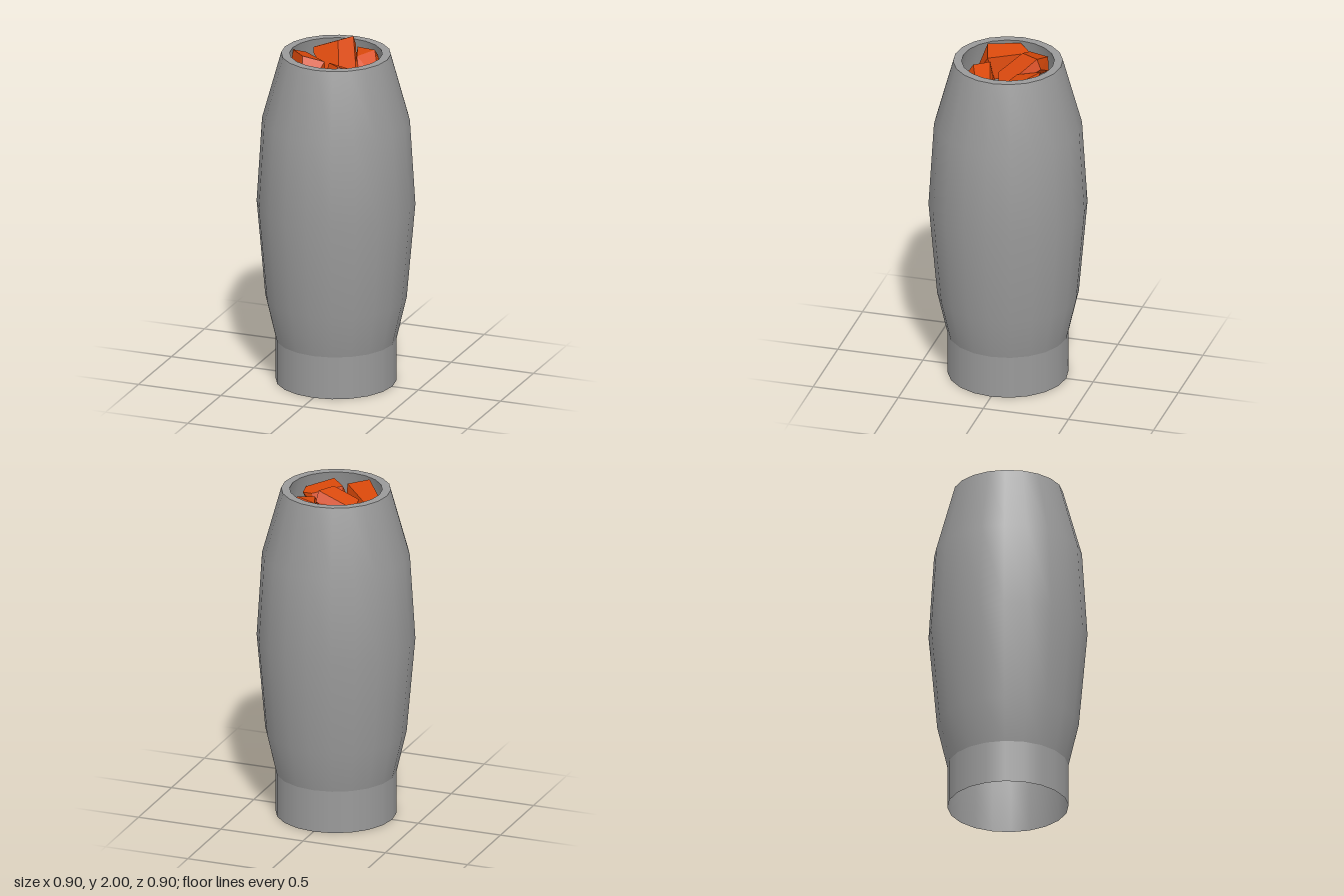
import * as THREE from 'three';
import { ConvexGeometry } from 'three/addons/geometries/ConvexGeometry.js';

const SIDES = 20;

export function createModel() {
  const model = new THREE.Group();
  const grey = new THREE.MeshStandardMaterial({ color: 0x9a9a9a });
  const orange = new THREE.MeshStandardMaterial({ color: 0xd8480a, flatShading: true });

  const add = (name, geometry, material) => {
    const mesh = new THREE.Mesh(geometry, material);
    mesh.name = name;
    model.add(mesh);
  };

  // Turned shell, open at both ends: smooth sections with a crease where they meet
  const turn = (name, profile) =>
    add(name, new THREE.LatheGeometry(profile.map(([r, y]) => new THREE.Vector2(r, y)), SIDES), grey);
  turn('foot', [[0.342, 0], [0.342, 0.25]]);
  turn('body', [[0.342, 0.25], [0.4, 0.5], [0.449, 1.06], [0.418, 1.56], [0.31, 1.952]]);
  turn('rim', [[0.31, 1.952], [0.262, 1.952]]);
  turn('innerWall', [[0.262, 1.952], [0.37, 1.56], [0.4, 1.06], [0.36, 0.5], [0.338, 0.25], [0.342, 0]]);

  // Angular chunks in the mouth, each the hull of its corners
  const chunks = {
    backChunk: [
      [-0.19, 1.911, -0.18], [0.034, 2, -0.18], [-0.02, 2, -0.08], [-0.17, 1.94, -0.08],
      [-0.12, 1.86, -0.205], [0.04, 1.94, -0.205], [-0.155, 1.914, -0.05],
      [0.135, 1.812, 0.02], [0.035, 1.89, 0.045], [-0.05, 1.856, 0.045]
    ],
    leftChunk: [
      [-0.21, 1.91, -0.07], [-0.02, 1.94, 0.125], [-0.14, 1.97, 0.16], [-0.26, 1.94, 0],
      [-0.155, 1.79, -0.045], [-0.025, 1.81, 0.085], [-0.1, 1.76, 0.235], [-0.25, 1.73, 0.13]
    ],
    rightChunk: [
      [0.05, 1.93, -0.205], [0.17, 1.94, -0.165], [0.095, 1.92, -0.08], [0.26, 1.82, 0],
      [0.17, 1.8, 0.06], [0.17, 1.9, -0.205], [0.28, 1.75, -0.1], [0.26, 1.75, 0.06],
      [0.035, 1.78, -0.19], [0.1, 1.76, 0.035]
    ],
    frontChunk: [
      [0, 1.93, 0.105], [0.083, 1.94, 0.18], [0.23, 1.89, 0.12], [0.23, 1.873, 0.07], [0.17, 1.879, 0.055],
      [-0.01, 1.8, 0.08], [0.13, 1.8, 0.036], [0.08, 1.8, 0.27], [-0.035, 1.65, 0.26], [0.23, 1.72, 0.2]
    ]
  };
  for (const [name, corners] of Object.entries(chunks)) {
    add(name, new ConvexGeometry(corners.map((c) => new THREE.Vector3(...c))), orange);
  }

  return model;
}
